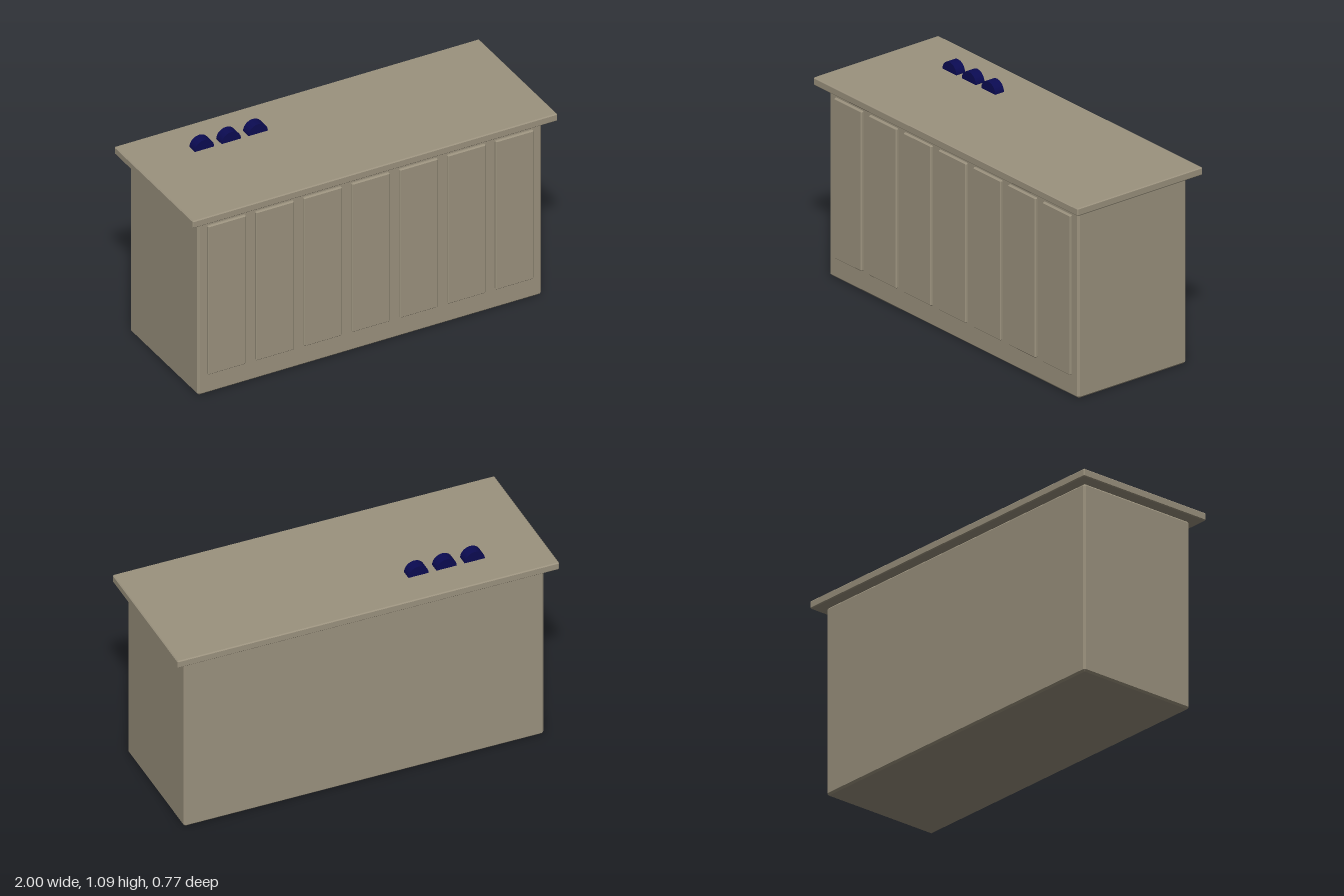
import * as THREE from 'three';
import { ConvexGeometry } from 'three/addons/geometries/ConvexGeometry.js';

// Box with every edge chamfered by c
function chamferBox(w, h, d, c) {
  const [x, y, z] = [w / 2, h / 2, d / 2];
  const points = [];
  for (const sx of [-1, 1]) for (const sy of [-1, 1]) for (const sz of [-1, 1]) {
    points.push(
      new THREE.Vector3(sx * x, sy * (y - c), sz * (z - c)),
      new THREE.Vector3(sx * (x - c), sy * y, sz * (z - c)),
      new THREE.Vector3(sx * (x - c), sy * (y - c), sz * z));
  }
  return new ConvexGeometry(points);
}

export function createModel() {
  const group = new THREE.Group();
  group.name = 'counter';
  const wood = new THREE.MeshStandardMaterial({ name: 'taupe wood', color: 0x9b927e });
  const navy = new THREE.MeshStandardMaterial({ name: 'navy blue', color: 0x0b0b52 });

  const add = (name, geometry, material, x, y, z) => {
    const mesh = new THREE.Mesh(geometry, material);
    mesh.name = name;
    mesh.position.set(x, y, z);
    group.add(mesh);
  };

  // Cabinet body and overhanging top
  add('cabinetBody', chamferBox(1.885, 0.991, 0.67, 0.01), wood, 0, 0.4955, 0);
  add('counterTop', chamferBox(2, 0.041, 0.775, 0.005), wood, 0, 1.0125, 0);

  // Seven raised panels across the front
  const panel = chamferBox(0.21, 0.84, 0.03, 0.005);
  for (let i = -3; i <= 3; i++) add('frontPanel', panel, wood, i * 0.263, 0.53, 0.333);

  // Three half-round discs standing on the top
  const half = new THREE.Shape();
  half.absarc(0, 0, 0.053, 0, Math.PI, false);
  half.closePath();
  const disc = new THREE.ExtrudeGeometry(half, { depth: 0.054, bevelEnabled: false, curveSegments: 16 });
  disc.translate(0, 0, -0.027);
  for (const x of [-0.634, -0.487, -0.34]) add('halfDisc', disc, navy, x, 1.032, -0.183);

  return group;
}
